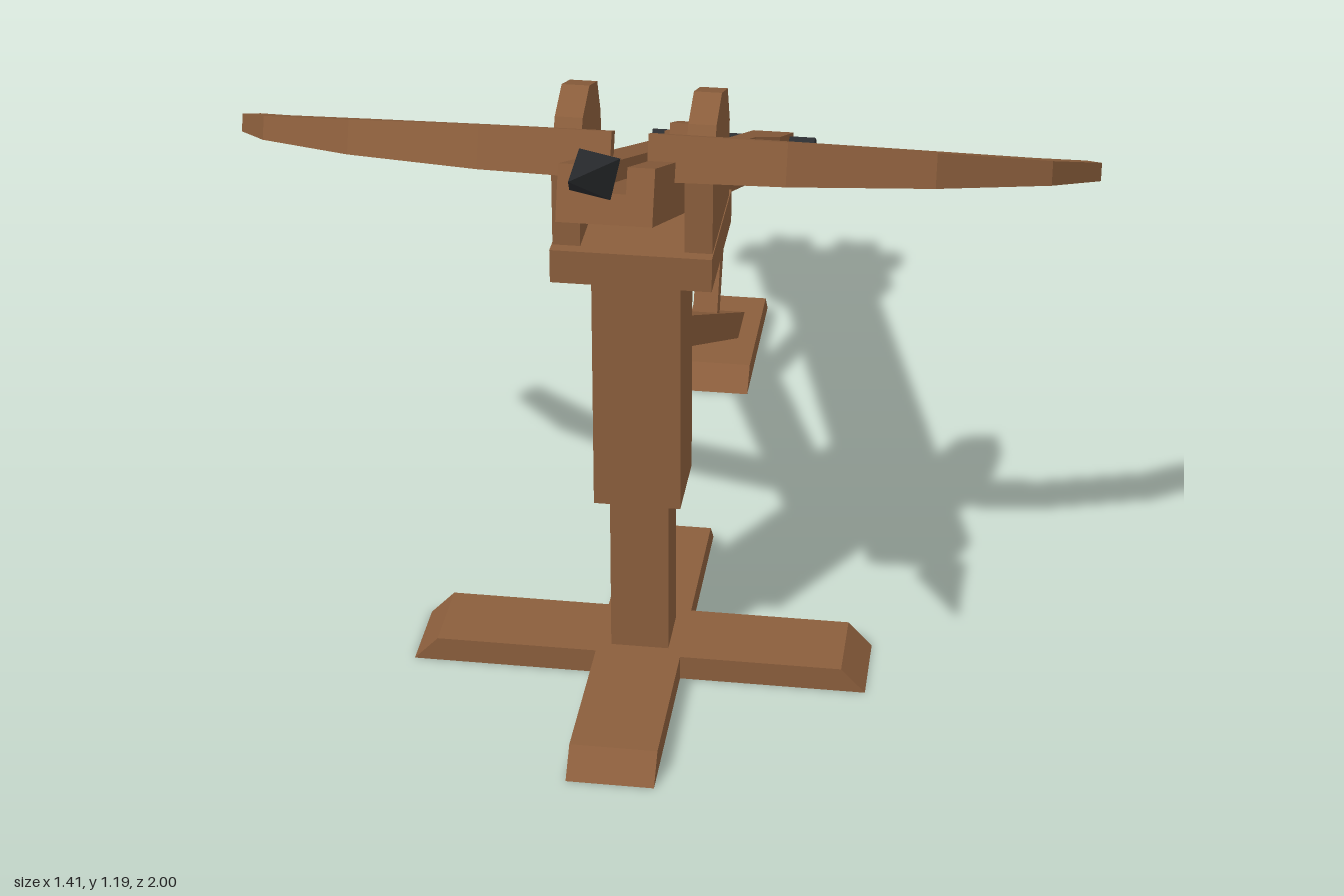
import * as THREE from 'three';

const wood = new THREE.MeshStandardMaterial({ color: 0x8b5e3c, flatShading: true });
const iron = new THREE.MeshStandardMaterial({ color: 0x2b2d30, flatShading: true });

const toShape = (pts) => new THREE.Shape(pts.map(([a, b]) => new THREE.Vector2(a, b)));

// Side outline given as [z, y], extruded across x and centred on x
function sideProfile(pts, width, x = 0) {
  const g = new THREE.ExtrudeGeometry(toShape(pts), { depth: width, bevelEnabled: false });
  return g.rotateY(-Math.PI / 2).translate(x + width / 2, 0, 0);
}

// Plan outline given as [x, z], extruded from y0 up to y1
function planProfile(pts, y0, y1) {
  const g = new THREE.ExtrudeGeometry(toShape(pts), { depth: y1 - y0, bevelEnabled: false });
  return g.rotateX(Math.PI / 2).translate(0, y1, 0);
}

const box = (w, h, d, x, y, z) => new THREE.BoxGeometry(w, h, d).translate(x, y, z);

function add(parent, name, geometry, material = wood) {
  const mesh = new THREE.Mesh(geometry, material);
  mesh.name = name;
  parent.add(mesh);
  return mesh;
}

// Foot plank with sloped ends
const footPlank = (half) =>
  sideProfile([[-half, 0], [half, 0], [half - 0.04, 0.042], [0.04 - half, 0.042]], 0.14);

function createStand() {
  const stand = new THREE.Group();
  stand.name = 'stand';
  const cz = 0.315;

  // Crossed feet, post and column
  add(stand, 'footLengthwise', footPlank(0.375)).position.z = cz;
  const cross = add(stand, 'footCrosswise', footPlank(0.375));
  cross.position.z = cz;
  cross.rotation.y = Math.PI / 2;
  add(stand, 'lowerPost', box(0.095, 0.3, 0.095, 0, 0.18, cz));
  add(stand, 'column', box(0.14, 0.43, 0.14, 0, 0.54, cz));

  // Yoke holding the stock
  add(stand, 'yokeBase', box(0.25, 0.055, 0.25, 0, 0.7755, cz));
  const cheek = [[0.21, 0.8], [0.42, 0.8], [0.42, 0.935], [0.38, 1.0],
    [0.315, 1.025], [0.24, 1.0], [0.21, 0.935]];
  for (const s of [-1, 1]) add(stand, 'yokeCheek', sideProfile(cheek, 0.043, s * 0.102));

  // Rear foot, sloping brace and strut
  add(stand, 'rearFoot', footPlank(0.18)).position.z = -0.76;
  add(stand, 'brace', sideProfile([[0.25, 0.6], [-0.84, 0.04], [-0.73, 0.04], [0.25, 0.54]], 0.07));
  add(stand, 'strut', sideProfile([[-0.48, 0.215], [-0.595, 0.45], [-0.635, 0.43], [-0.52, 0.2]], 0.045));
  return stand;
}

// One bow limb, thinning towards its tip
function limbGeometry(side) {
  const outer = [[0.028, 0.672], [0.235, 0.648], [0.455, 0.562], [0.628, 0.412], [0.705, 0.252]];
  const inner = [[0.68, 0.232], [0.6, 0.36], [0.42, 0.515], [0.22, 0.608], [0.028, 0.638]];
  const g = planProfile([...outer, ...inner].map(([x, z]) => [x * side, z]), -1, 1);
  const p = g.attributes.position;
  for (let i = 0; i < p.count; i++) {
    const t = (Math.abs(p.getX(i)) / 0.7) ** 2;
    p.setY(i, 0.047 + p.getY(i) * THREE.MathUtils.lerp(0.036, 0.015, t));
  }
  g.computeVertexNormals();
  return g;
}

function createBow() {
  const bow = new THREE.Group();
  bow.name = 'tiltedBow';
  bow.position.set(0, 0.67, -0.155);
  bow.rotation.x = -THREE.MathUtils.degToRad(22.6);

  // Grooved stock, wider at the rear
  const edge = [[0.07, 0.9], [0.07, -0.54], [0.11, -0.605], [0.11, -0.9]];
  const mirrored = edge.map(([x, z]) => [-x, z]).reverse();
  add(bow, 'stockFloor', planProfile([...edge, ...mirrored], -0.042, 0.003));
  for (const s of [-1, 1]) {
    const rail = [...edge, [0.03, -0.9], [0.03, 0.9]].map(([x, z]) => [x * s, z]);
    add(bow, 'stockRail', planProfile(rail, 0.003, 0.042));
    add(bow, 'bowLimb', limbGeometry(s));
  }

  // String block with a narrow catch reaching into the groove
  add(bow, 'stringBlock', sideProfile([[-0.28, 0.042], [-0.155, 0.042], [-0.155, 0.073], [-0.27, 0.073]], 0.088));
  add(bow, 'stringCatch', box(0.056, 0.045, 0.12, 0, 0.0235, -0.218));

  // Winding axle
  const axle = new THREE.CylinderGeometry(0.036, 0.036, 0.32, 6).rotateZ(Math.PI / 2);
  axle.rotateX(THREE.MathUtils.degToRad(22.6 + 30));
  add(bow, 'windingAxle', axle.translate(0, 0.004, -0.827), iron);

  // Bolt lying in the groove
  add(bow, 'boltShaft', box(0.028, 0.028, 1.22, 0, 0.036, 0.43));
  const head = new THREE.ConeGeometry(0.042, 0.236, 4).rotateY(0.6).rotateX(Math.PI / 2);
  add(bow, 'boltHead', head.translate(0.003, 0.036, 1.148), iron);
  return bow;
}

export function createModel() {
  const model = new THREE.Group();
  model.name = 'standingCrossbow';
  model.add(createStand(), createBow());
  return model;
}
